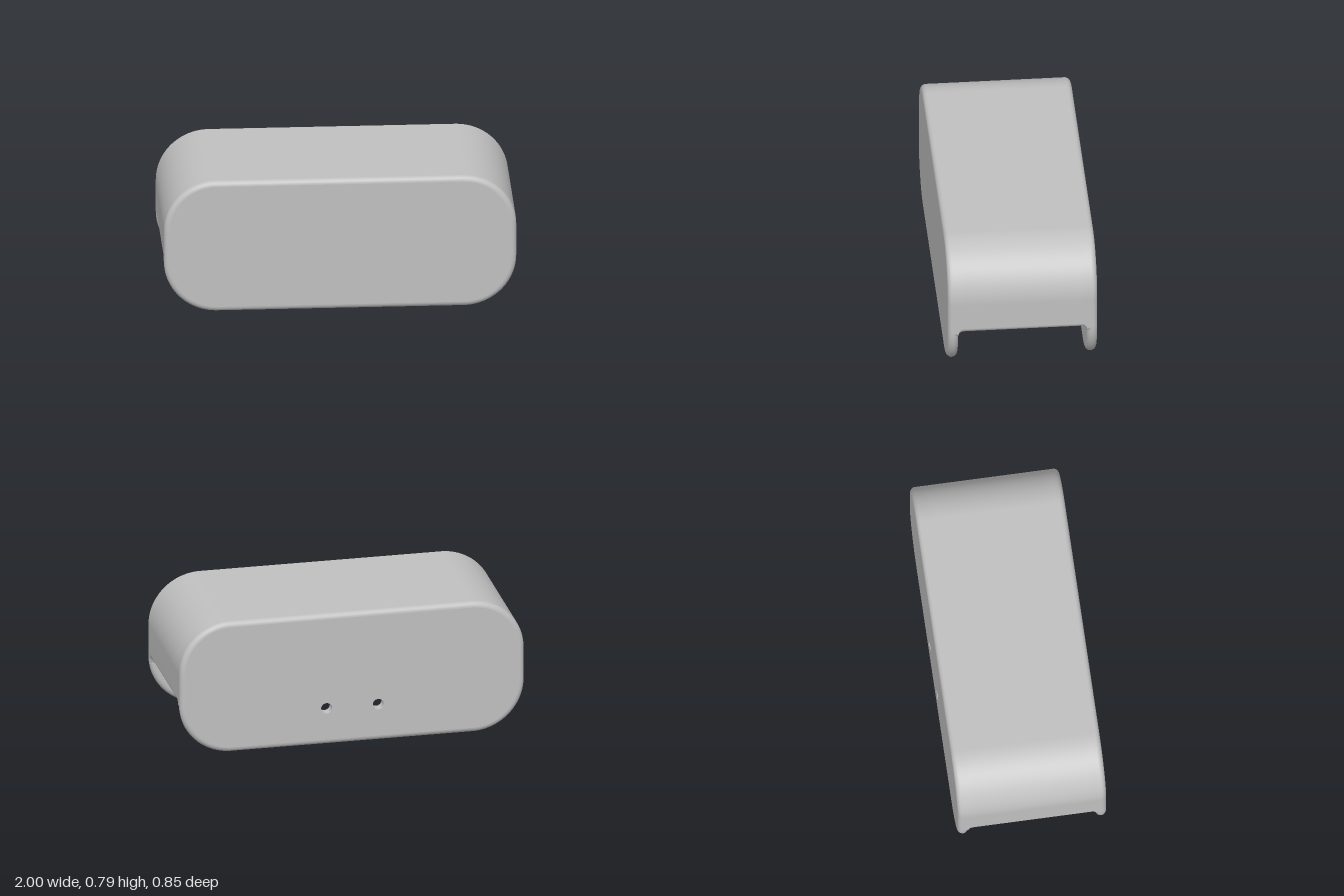
import * as THREE from 'three';

const HALF_W = 1, HEIGHT = 0.79, CORNER = 0.3, WALL = 0.06, EDGE = 0.03;
const PLATE_Z = 0.395, INNER_Z = PLATE_Z - EDGE, HOOD_BOTTOM = 0.3;
const MID_Y = HEIGHT / 2, CX = HALF_W - CORNER, TOP_CY = HEIGHT - CORNER;
const HOLES = { xs: [-0.15, 0.15], y: 0.22, r: 0.032 };

// Points along an arc, angles in degrees
function arc(cx, cy, r, a0, a1, n) {
  return Array.from({ length: n + 1 }, (_, i) => {
    const a = THREE.MathUtils.degToRad(a0 + ((a1 - a0) * i) / n);
    return new THREE.Vector2(cx + r * Math.cos(a), cy + r * Math.sin(a));
  });
}

// Skin over closed rings ({ z, pts }) of equal length
function loft(rings) {
  const n = rings[0].pts.length, pos = [], idx = [];
  rings.forEach(({ z, pts }) => pts.forEach(p => pos.push(p.x, p.y, z)));
  for (let i = 0; i < rings.length - 1; i++) {
    for (let j = 0; j < n; j++) {
      const a = i * n + j, b = i * n + ((j + 1) % n);
      idx.push(a, b, b + n, a, b + n, a + n);
    }
  }
  const g = new THREE.BufferGeometry();
  g.setAttribute('position', new THREE.Float32BufferAttribute(pos, 3));
  g.setIndex(idx);
  g.computeVertexNormals();
  return g;
}

// Rounded plate outline, shrunk by an inset
function outline(inset) {
  const r = CORNER - inset, lo = CORNER, hi = TOP_CY, n = 20;
  return [
    ...arc(CX, hi, r, 0, 90, n), ...arc(-CX, hi, r, 90, 180, n),
    ...arc(-CX, lo, r, 180, 270, n), ...arc(CX, lo, r, 270, 360, n),
  ];
}

// Arch-shaped wall section; f thickens it inward and downward into a fillet
function hoodSection(f) {
  const t = WALL + f, y = HOOD_BOTTOM + EDGE - f, n = 20, m = 8;
  return [
    ...arc(CX, TOP_CY, CORNER, 0, 90, n), ...arc(-CX, TOP_CY, CORNER, 90, 180, n),
    ...arc(-HALF_W + EDGE, y, EDGE, 180, 270, m), ...arc(-HALF_W + t - EDGE, y, EDGE, 270, 360, m),
    ...arc(-CX, TOP_CY, CORNER - t, 180, 90, n), ...arc(CX, TOP_CY, CORNER - t, 90, 0, n),
    ...arc(HALF_W - t + EDGE, y, EDGE, 180, 270, m), ...arc(HALF_W - EDGE, y, EDGE, 270, 360, m),
  ];
}

function createPlate(name, zc, material, withHoles) {
  const plate = new THREE.Group();
  plate.name = name;
  const add = (part, geo) => {
    const mesh = new THREE.Mesh(geo, material);
    mesh.name = part;
    plate.add(mesh);
  };

  // Fully rounded rim
  const rings = [];
  for (let i = 0; i <= 12; i++) {
    const a = -Math.PI / 2 + (Math.PI * i) / 12;
    rings.push({ z: zc + EDGE * Math.sin(a), pts: outline(EDGE * (1 - Math.cos(a))) });
  }
  add('rim', loft(rings));

  // Flat faces with screw holes
  const shape = new THREE.Shape(outline(EDGE));
  if (withHoles) {
    for (const x of HOLES.xs) {
      const pts = arc(x, HOLES.y, HOLES.r, 360, 0, 32).slice(0, -1);
      shape.holes.push(new THREE.Path(pts));
      add('holeWall', loft([{ z: zc - EDGE, pts }, { z: zc + EDGE, pts }]));
    }
  }
  add('frontFace', new THREE.ShapeGeometry(shape).translate(0, 0, zc + EDGE));
  add('backFace', new THREE.ShapeGeometry(shape).rotateY(Math.PI).translate(0, 0, zc - EDGE));
  return plate;
}

export function createModel() {
  const grey = new THREE.MeshStandardMaterial({ color: 0xc0c0c0 });
  grey.name = 'light grey';
  const model = new THREE.Group();
  model.name = 'coverBracket';

  model.add(createPlate('frontPlate', PLATE_Z, grey, false));
  model.add(createPlate('backPlate', -PLATE_Z, grey, true));

  // Hollow hood between the plates, filleted where it meets them
  const half = [];
  for (let i = 0; i <= 8; i++) {
    const a = (i / 8) * (Math.PI / 2);
    half.push({ z: INNER_Z - EDGE + EDGE * Math.sin(a), pts: hoodSection(EDGE * (1 - Math.cos(a))) });
  }
  half.push({ z: PLATE_Z, pts: hoodSection(EDGE) });
  const mirrored = half.map(s => ({ z: -s.z, pts: s.pts })).reverse();
  const hood = new THREE.Mesh(loft([...mirrored, ...half]), grey);
  hood.name = 'hood';
  model.add(hood);
  return model;
}
